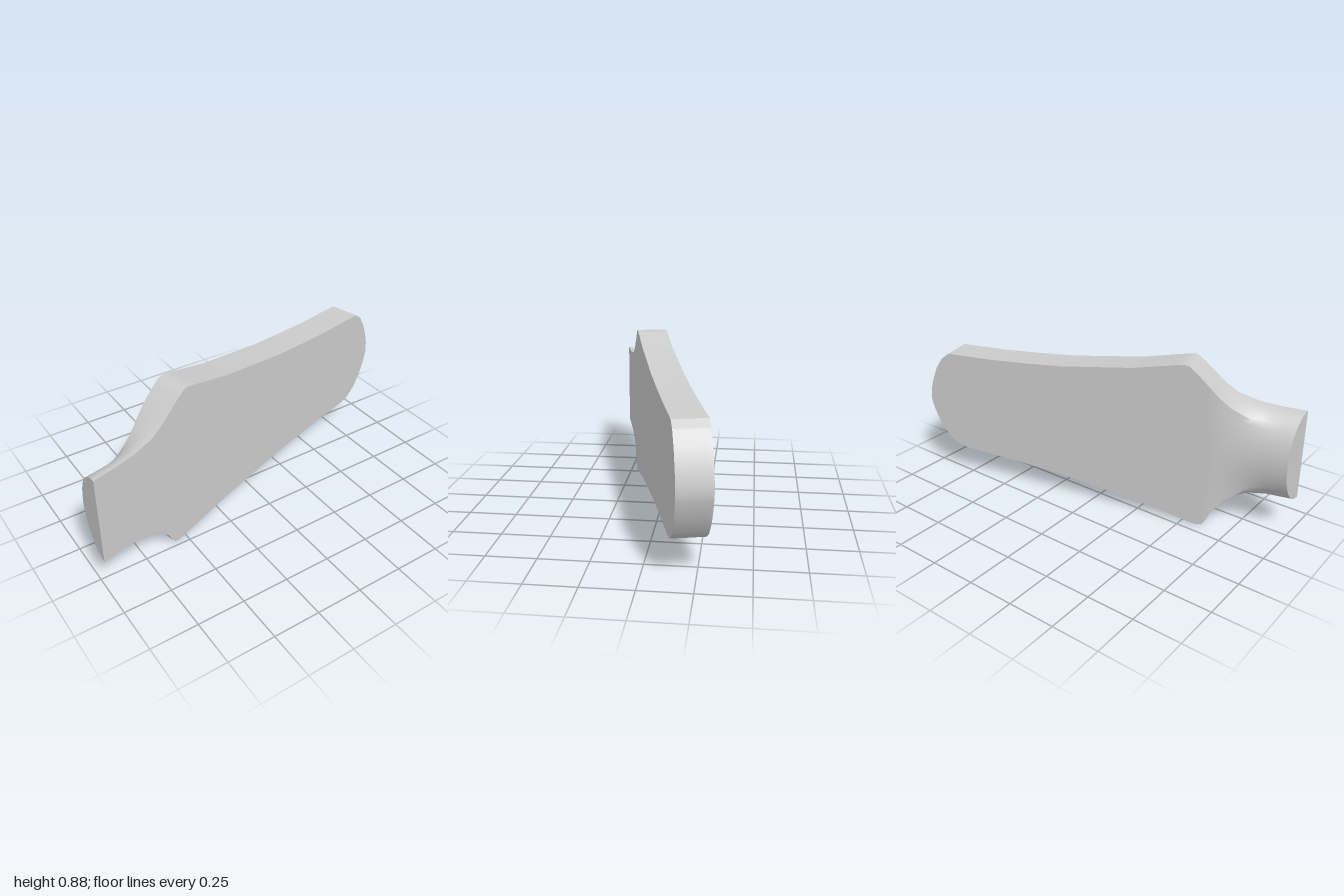
import * as THREE from 'three';
import { toCreasedNormals } from 'three/addons/utils/BufferGeometryUtils.js';

// Upper and lower outline of the front face, as [x, y]
const TOP = [[-1, .673], [-.87, .675], [-.77, .685], [-.67, .71], [-.61, .748], [-.55, .8], [-.5, .845], [-.465, .874],
  [-.44, .88], [-.4, .872], [-.18, .82], [.2, .765], [.4, .748], [.6, .735], [.865, .728], [.91, .692], [.95, .628], [.98, .55], [.995, .49], [1, .44]];
const BOTTOM = [[-1, .19], [-.87, .187], [-.77, .175], [-.67, .138], [-.61, .075], [-.585, .025], [-.57, .003], [-.54, 0], [-.5, .005],
  [-.38, .03], [-.2, .065], [.2, .12], [.5, .148], [.785, .163], [.85, .18], [.9, .218], [.95, .288], [.98, .36], [.995, .41], [1, .44]];

function sample(line, x) {
  let i = 1;
  while (i < line.length - 1 && line[i][0] < x) i++;
  const [a, b] = [line[i - 1], line[i]];
  return a[1] + (b[1] - a[1]) * (x - a[0]) / (b[0] - a[0]);
}

// Slab of constant thickness that blends into a half-round neck at -x
function slabGeometry() {
  const N = 32, pos = [], index = [];
  const xs = [...new Set([...TOP, ...BOTTOM].map(p => p[0]).concat([-.94, -.82, -.72, -.64]))].sort((a, b) => a - b);

  for (const x of xs) {
    const top = sample(TOP, x), bottom = sample(BOTTOM, x);
    const mid = (top + bottom) / 2, half = (top - bottom) / 2;
    const square = THREE.MathUtils.smoothstep(x, -.9, -.53);  // half-round to rectangular
    const lean = THREE.MathUtils.smoothstep(x, -1, -.6);      // end cut to slab normal
    const dip = x < -.6 ? .014 * Math.sin(Math.PI * (x + 1) / .4) : 0;
    const depth = THREE.MathUtils.lerp(.168, .16, lean) - dip;
    for (let j = 0; j <= N; j++) {
      const c = Math.cos(Math.PI * j / N), s = Math.sin(Math.PI * j / N);
      const k = THREE.MathUtils.lerp(1, 1 / Math.max(Math.abs(c), s), square);
      const d = j % N ? s * k : 0;
      pos.push(x - .04 * lean * d, mid + half * c * k, .082 - .251 * x - depth * d);
    }
  }

  const M = N + 1;
  for (let i = 0; i < xs.length - 1; i++) {
    for (let j = 0; j < M; j++) {
      const a = i * M + j, d = i * M + (j + 1) % M;
      index.push(a, a + M, d + M, a, d + M, d);
    }
  }
  // Flat end of the neck
  for (let j = 1; j < N; j++) index.push(0, j, j + 1);

  const geometry = new THREE.BufferGeometry();
  geometry.setAttribute('position', new THREE.Float32BufferAttribute(pos, 3));
  geometry.setIndex(index);
  return toCreasedNormals(geometry, Math.PI / 5);
}

export function createModel() {
  const group = new THREE.Group();
  group.name = 'paddle';
  const blade = new THREE.Mesh(slabGeometry(), new THREE.MeshStandardMaterial({ color: 0xcccccc }));
  blade.name = 'bladeAndNeck';
  group.add(blade);
  return group;
}
